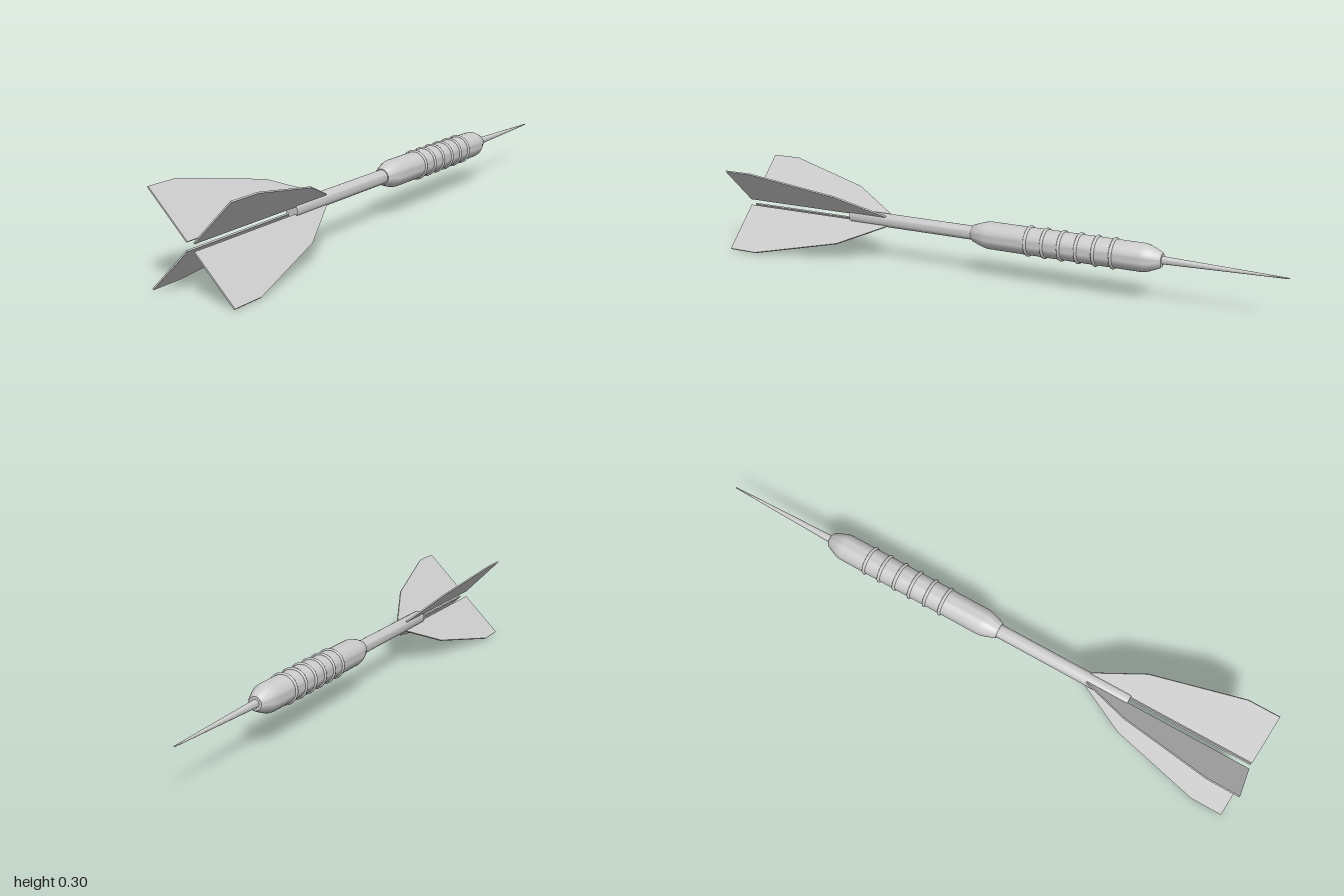
import * as THREE from 'three';
import { toCreasedNormals } from 'three/addons/utils/BufferGeometryUtils.js';

const AXIS_Y = 0.15;

export function createModel() {
  const group = new THREE.Group();
  const material = new THREE.MeshStandardMaterial({ color: 0xcccccc });

  const add = (name, geometry) => {
    const mesh = new THREE.Mesh(geometry, material);
    mesh.name = name;
    mesh.position.y = AXIS_Y;
    group.add(mesh);
    return mesh;
  };

  // Turned part along z, from [radius, z] pairs running from -z to +z
  const turned = (name, profile, segments = 32) => {
    const points = profile.map(([r, z]) => new THREE.Vector2(r, z));
    const geometry = new THREE.LatheGeometry(points, segments).rotateX(Math.PI / 2);
    return add(name, toCreasedNormals(geometry, 0.5));
  };

  // Needle point
  turned('point', [[0, -1], [0.002, -0.998], [0.013, -0.6], [0.013, -0.58]], 16);

  // Barrel with rounded shoulders
  turned('barrel', [
    [0, -0.6], [0.022, -0.6], [0.027, -0.595], [0.041, -0.562], [0.045, -0.551], [0.047, -0.535],
    [0.047, 0.005], [0.045, 0.02], [0.041, 0.035], [0.03, 0.066], [0.027, 0.07], [0, 0.07],
  ]);

  // Grip rings
  for (let i = 0; i < 6; i++) {
    const ring = add('gripRing', new THREE.TorusGeometry(0.047, 0.0055, 10, 32));
    ring.position.z = -0.14 - i * 0.06;
  }

  // Shaft
  turned('shaft', [[0, 0.06], [0.024, 0.06], [0.024, 0.555], [0.022, 0.56], [0, 0.56]]);

  // Four flights, each a thin plate in (radius, z) turned about the axis
  const outline = [[0.017, 0.41], [0.027, 0.41], [0.121, 0.575], [0.207, 0.89], [0.207, 1], [0.017, 1]];
  const thickness = 0.005;
  const shape = new THREE.Shape(outline.map(([r, z]) => new THREE.Vector2(r, z)));
  const flight = new THREE.ExtrudeGeometry(shape, { depth: thickness, bevelEnabled: false })
    .translate(0, 0, -thickness / 2)
    .rotateX(Math.PI / 2);
  for (let i = 0; i < 4; i++) {
    add('flight', flight).rotation.z = Math.PI / 4 + (i * Math.PI) / 2;
  }

  return group;
}
